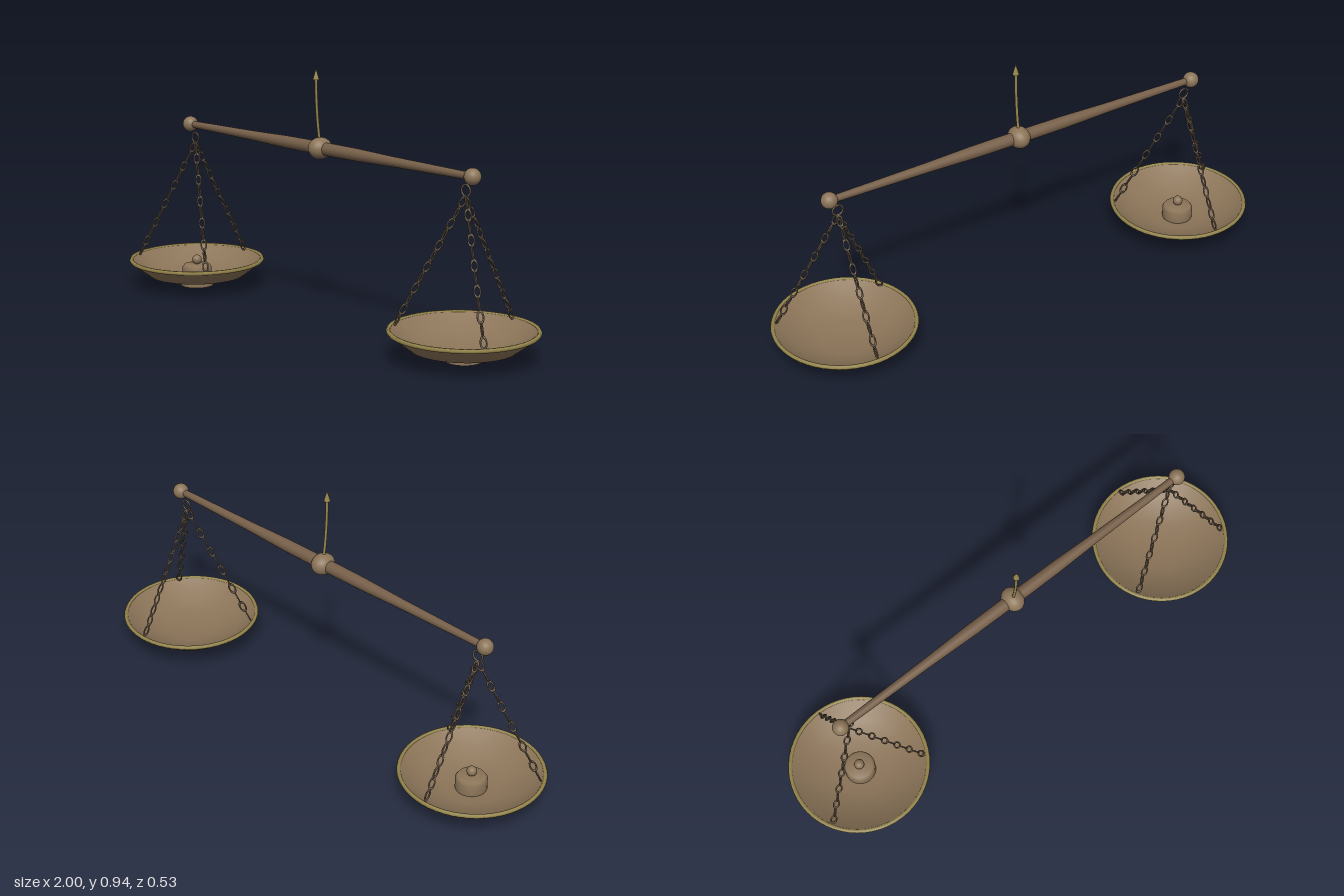
import * as THREE from 'three';

const material = (name, color) => {
  const m = new THREE.MeshStandardMaterial({ color });
  m.name = name;
  return m;
};
const V2 = (p) => new THREE.Vector2(p[0], p[1]);
const V3 = (x, y, z) => new THREE.Vector3(x, y, z);

export function createModel() {
  const bronze = material('bronze', 0x8c7559);
  const darkBronze = material('dark bronze', 0x765f49);
  const brass = material('brass', 0x95854c);
  const iron = material('chain metal', 0x6e5d4a);

  const model = new THREE.Group();
  model.name = 'balanceScale';
  const add = (parent, name, geometry, mat, x = 0, y = 0, z = 0) => {
    const mesh = new THREE.Mesh(geometry, mat);
    mesh.name = name;
    mesh.position.set(x, y, z);
    parent.add(mesh);
    return mesh;
  };

  const beamY = 0.643;
  const panX = 0.735;

  // Beam, swelling towards the middle
  const beamProfile = [[0.013, -0.76], [0.018, -0.38], [0.023, -0.19], [0.024, 0],
    [0.023, 0.19], [0.018, 0.38], [0.013, 0.76]].map(V2);
  add(model, 'beam', new THREE.LatheGeometry(beamProfile, 20), darkBronze, 0, beamY, 0)
    .rotation.z = Math.PI / 2;

  // Pivot boss and end balls
  add(model, 'pivotBoss', new THREE.SphereGeometry(0.04, 28, 18), bronze, 0, beamY, 0)
    .scale.z = 1.18;
  for (const s of [-1, 1]) {
    add(model, 'endBall', new THREE.SphereGeometry(0.03, 24, 16), bronze, s * 0.765, beamY, 0);
  }

  // Curved pointer with an arrow tip
  const pointerPath = new THREE.CatmullRomCurve3([
    V3(0, 0.665, 0.002), V3(0, 0.74, 0.012), V3(0, 0.82, 0.018), V3(0, 0.9, 0.02)]);
  add(model, 'pointer', new THREE.TubeGeometry(pointerPath, 20, 0.0055, 8), brass);
  add(model, 'pointerTip', new THREE.ConeGeometry(0.012, 0.042, 12), brass, 0, 0.916, 0.02);

  // Shared geometry for the hanging pans
  const bowlProfile = [[0, 0.02], [0.095, 0.022], [0.188, 0.045], [0.256, 0.096],
    [0.258, 0.107], [0.25, 0.107], [0.184, 0.056], [0.093, 0.032], [0, 0.03]].map(V2);
  const bowlGeometry = new THREE.LatheGeometry(bowlProfile, 56);
  const rimGeometry = new THREE.TorusGeometry(0.258, 0.008, 6, 56).rotateX(Math.PI / 2);
  const footGeometry = new THREE.CylinderGeometry(0.064, 0.064, 0.023, 32);
  const ringGeometry = new THREE.TorusGeometry(0.02, 0.0035, 8, 24);
  const linkGeometry = new THREE.TorusGeometry(0.0105, 0.003, 6, 14).scale(1, 1.9, 1);

  // Chain of links, each turned a quarter against the last
  const addChain = (parent, from, to, count) => {
    const chain = new THREE.Group();
    chain.name = 'chain';
    const direction = to.clone().sub(from).normalize();
    const align = new THREE.Quaternion().setFromUnitVectors(V3(0, 1, 0), direction);
    for (let i = 0; i < count; i++) {
      const link = add(chain, 'chainLink', linkGeometry, iron);
      link.position.lerpVectors(from, to, (i + 0.5) / count);
      link.quaternion.copy(align)
        .multiply(new THREE.Quaternion().setFromAxisAngle(V3(0, 1, 0), (i % 2) * Math.PI / 2));
    }
    parent.add(chain);
  };

  const addPan = (x, name) => {
    const pan = new THREE.Group();
    pan.name = name;
    pan.position.x = x;
    add(pan, 'bowl', bowlGeometry, bronze);
    add(pan, 'rim', rimGeometry, brass, 0, 0.105, 0);
    add(pan, 'foot', footGeometry, bronze, 0, 0.0115, 0);
    add(pan, 'hangingRing', ringGeometry, iron, 0, 0.592, 0);
    // Three chains, one at the back and two towards the front
    for (let i = 0; i < 3; i++) {
      const a = -Math.PI / 2 + i * Math.PI * 2 / 3;
      addChain(pan, V3(0, 0.572, 0),
        V3(Math.cos(a) * 0.245, 0.106, Math.sin(a) * 0.245), 12);
    }
    model.add(pan);
    return pan;
  };

  addPan(panX, 'leftPan');
  const rightPan = addPan(-panX, 'rightPan');

  // Small weight with a knob, resting in one pan
  const weightProfile = [[0, 0.028], [0.056, 0.028], [0.058, 0.034], [0.058, 0.072],
    [0.05, 0.083], [0.016, 0.085], [0, 0.085]].map(V2);
  add(rightPan, 'weight', new THREE.LatheGeometry(weightProfile, 32), bronze);
  add(rightPan, 'weightKnob', new THREE.SphereGeometry(0.019, 18, 12), bronze, 0, 0.102, 0);

  return model;
}
